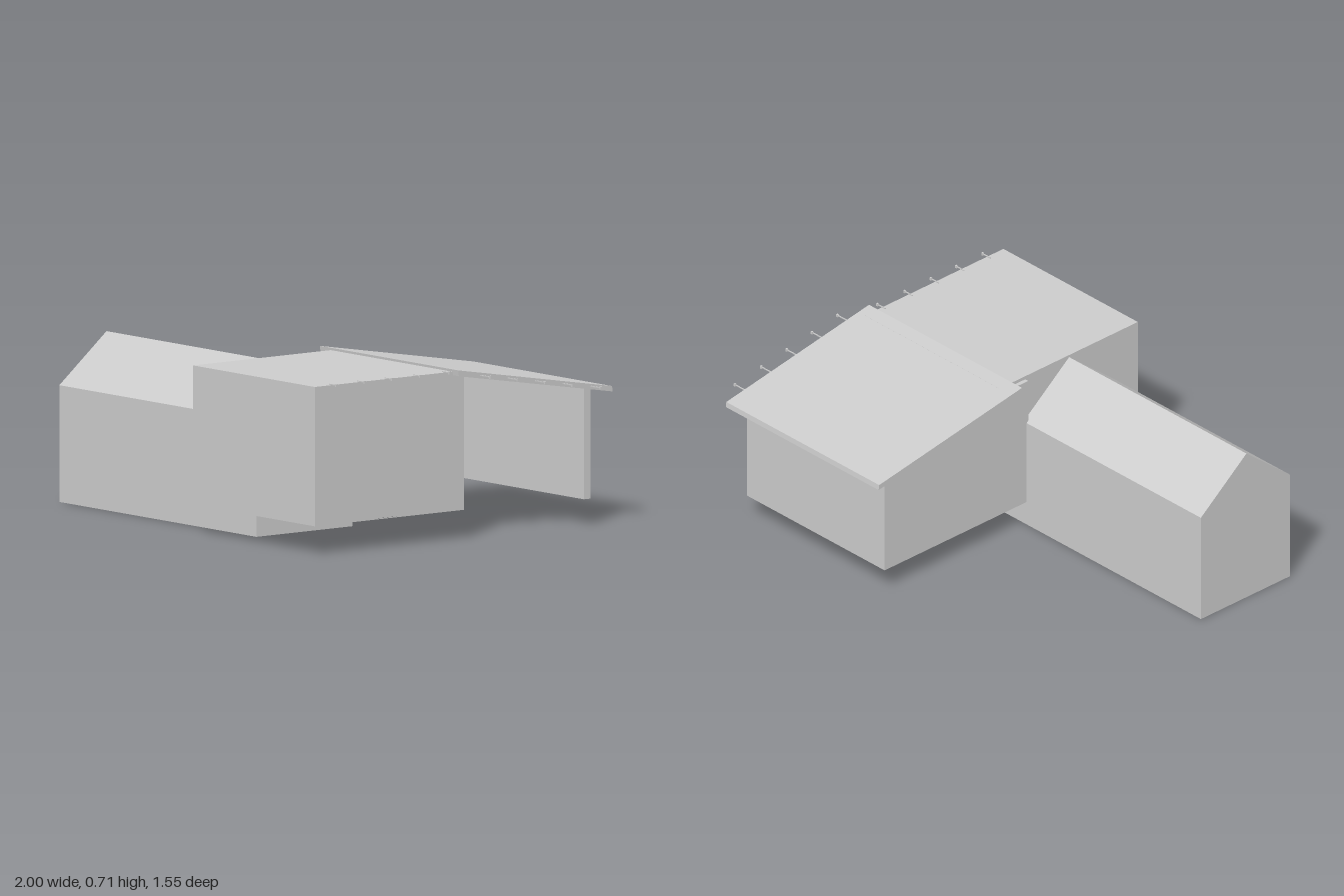
import * as THREE from 'three';

const grey = new THREE.MeshStandardMaterial({ color: 0xcccccc, flatShading: true });

export function createModel() {
  const model = new THREE.Group();

  const add = (name, geometry, parent = model) => {
    const mesh = new THREE.Mesh(geometry, grey);
    mesh.name = name;
    parent.add(mesh);
    return mesh;
  };
  // Box from its minimum and maximum corners
  const box = (name, [x0, y0, z0], [x1, y1, z1], parent) => {
    const g = new THREE.BoxGeometry(x1 - x0, y1 - y0, z1 - z0);
    g.translate((x0 + x1) / 2, (y0 + y1) / 2, (z0 + z1) / 2);
    return add(name, g, parent);
  };
  // Outline of [z, y] points, swept along x from x0 to x1, with optional holes
  const outline = (pts) => pts.map(([z, y]) => new THREE.Vector2(-z, y));
  const sweep = (name, pts, x0, x1, holes = [], parent) => {
    const shape = new THREE.Shape(outline(pts));
    holes.forEach((h) => shape.holes.push(new THREE.Path(outline(h))));
    const g = new THREE.ExtrudeGeometry(shape, { depth: x1 - x0, bevelEnabled: false });
    g.rotateY(Math.PI / 2).translate(x0, 0, 0);
    return add(name, g, parent);
  };
  const rect = (z0, z1, y0, y1) => [[z0, y0], [z1, y0], [z1, y1], [z0, y1]];

  // Long gabled wing
  sweep('gabledWing', [[0.63, 0], [0.12, 0], [0.12, 0.49], [0.38, 0.695], [0.63, 0.49]], -1, 0.32);

  // Main block: solid core with a pierced facade so the openings are recessed
  const main = new THREE.Group();
  main.name = 'mainBlock';
  model.add(main);
  box('mainCore', [0.075, 0.12, -0.018], [0.865, 0.705, 0.772], main);
  const openings = [
    rect(0.555, 0.745, 0.124, 0.295), // wide door
    rect(0.34, 0.445, 0.124, 0.283), // door
    rect(0.04, 0.215, 0.19, 0.285), // lower window
    rect(0.59, 0.71, 0.47, 0.525), // upper windows
    rect(0.335, 0.44, 0.47, 0.517),
    rect(0.04, 0.22, 0.468, 0.5),
  ];
  sweep('facade', rect(-0.018, 0.772, 0.12, 0.705), 0.865, 0.89, openings, main);

  // Lean-to: open on the right side, under a sloping roof slab
  const leanTo = new THREE.Group();
  leanTo.name = 'leanTo';
  model.add(leanTo);
  const underside = (z) => 0.69 + (z - 0.04) * 0.166;
  const roofZ = [0.04, -0.775];
  sweep('slopingRoof', [
    [roofZ[0], underside(roofZ[0])], [roofZ[1], underside(roofZ[1])],
    [roofZ[1] + 0.003, underside(roofZ[1]) + 0.023], [roofZ[0] + 0.003, underside(roofZ[0]) + 0.025],
  ], 0.003, 0.93, [], leanTo);
  sweep('sideWall', [[0.13, 0.108], [-0.69, 0.108], [-0.69, underside(-0.69)], [0.04, underside(0.04)], [0.13, 0.69]],
    0.057, 0.075, [], leanTo);
  sweep('backWall', [[-0.655, 0.108], [-0.69, 0.108], [-0.69, underside(-0.69)], [-0.655, underside(-0.655)]],
    0.075, 0.89, [], leanTo);

  // Small lamps on thin arms along both roof edges
  const lamp = (name, x0, x1, y, z) => {
    const g = new THREE.Group();
    g.name = name;
    box('arm', [x0, y - 0.002, z - 0.002], [x1, y + 0.002, z + 0.002], g);
    box('head', [x1 - 0.008, y - 0.007, z - 0.004], [x1, y + 0.005, z + 0.004], g);
    model.add(g);
  };
  [-0.66, -0.51, -0.365, -0.22, -0.075].forEach((z) => lamp('leanToLamp', 0.92, 1, underside(z) + 0.013, z));
  [0.08, 0.235, 0.385, 0.53, 0.68].forEach((z) => lamp('facadeLamp', 0.87, 0.922, 0.707, z));

  return model;
}
